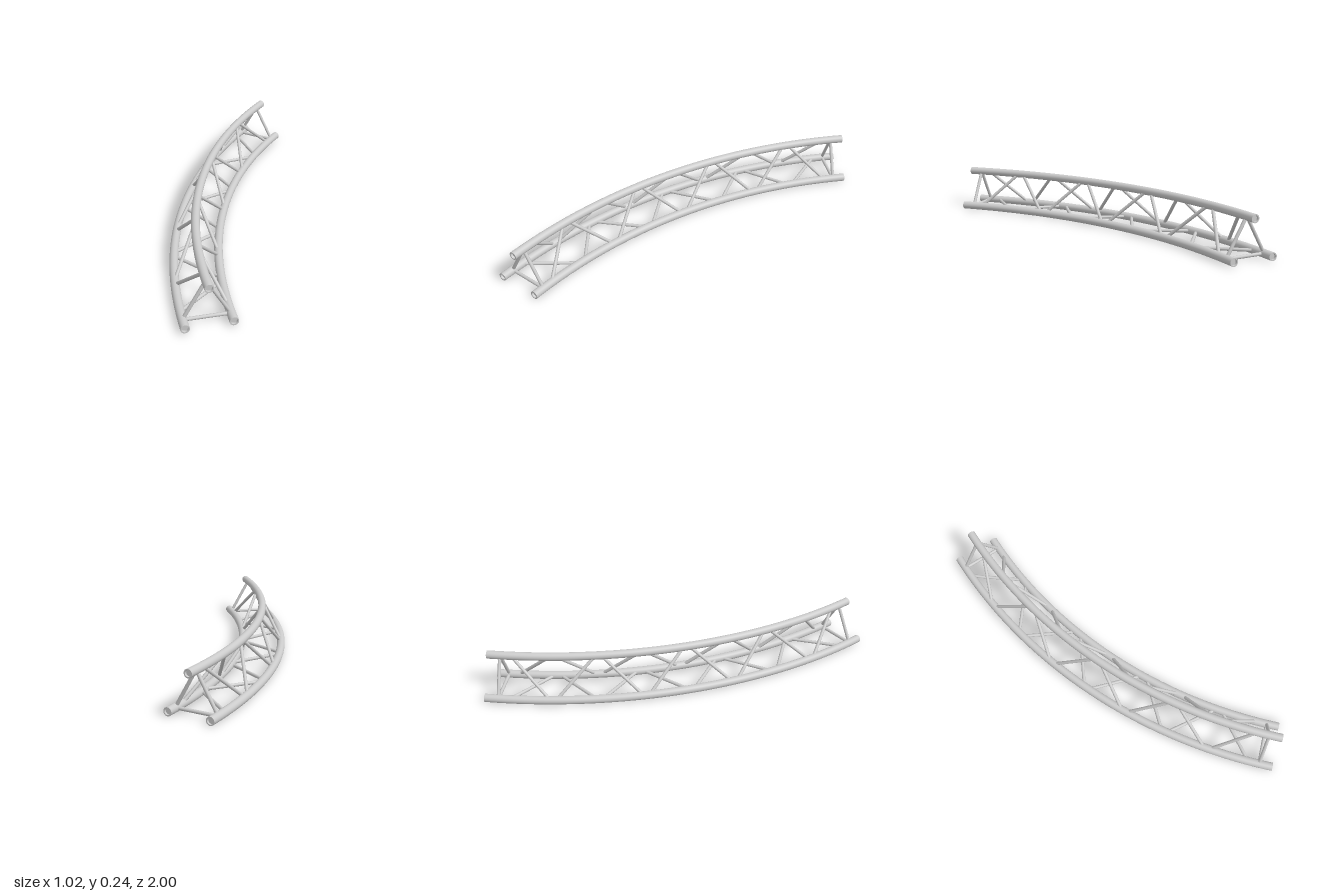
import * as THREE from 'three';

const DEG = Math.PI / 180;
const ARC = 45 * DEG;          // sweep of the curved truss
const CX = 2.318, CZ = 1;      // centre of curvature
const TUBE = 0.022, BORE = 0.016, BRACE = 0.009;

// The three main tubes: radius of curvature and height
const CHORDS = {
  outer: { r: 2.806, y: 0.022 },
  top: { r: 2.6925, y: 0.222 },
  inner: { r: 2.579, y: 0.022 },
};

const steel = new THREE.MeshStandardMaterial({ color: 0xcccccc });
const steelOpen = new THREE.MeshStandardMaterial({ color: 0xcccccc, side: THREE.DoubleSide });

// Point on a chord at an angle along the arc
function at(chord, a) {
  const { r, y } = CHORDS[chord];
  return new THREE.Vector3(CX - r * Math.cos(a), y, CZ - r * Math.sin(a));
}

function mesh(name, geometry, material = steel) {
  const m = new THREE.Mesh(geometry, material);
  m.name = name;
  return m;
}

// Straight round bar between two points
function bar(name, a, b) {
  const m = mesh(name, new THREE.CylinderGeometry(BRACE, BRACE, a.distanceTo(b), 12));
  m.position.copy(a).lerp(b, 0.5);
  m.quaternion.setFromUnitVectors(new THREE.Vector3(0, 1, 0), b.clone().sub(a).normalize());
  return m;
}

// Tube mouth facing +z: rim, short bore and recessed disc
function tubeEnd() {
  const g = new THREE.Group();
  const depth = 0.012;
  const bore = new THREE.CylinderGeometry(BORE, BORE, depth, 24, 1, true)
    .rotateX(Math.PI / 2).translate(0, 0, -depth / 2);
  g.add(mesh('tubeRim', new THREE.RingGeometry(BORE, TUBE, 24)));
  g.add(mesh('tubeBore', bore, steelOpen));
  g.add(mesh('tubePlug', new THREE.CircleGeometry(BORE, 24).translate(0, 0, -depth)));
  return g;
}

// Curved main tube with both ends
function chordTube(key) {
  const { r, y } = CHORDS[key];
  const g = new THREE.Group();
  g.name = key + 'Chord';
  const sweep = new THREE.TorusGeometry(r, TUBE, 24, 64, ARC)
    .rotateZ(Math.PI - ARC).rotateX(-Math.PI / 2).translate(CX, y, CZ);
  g.add(mesh(key + 'Tube', sweep));
  [[0, 0], [ARC, Math.PI - ARC]].forEach(([a, turn], i) => {
    const end = tubeEnd();
    end.name = key + (i ? 'BackEnd' : 'FrontEnd');
    end.position.copy(at(key, a));
    end.rotation.y = turn;
    g.add(end);
  });
  return g;
}

export function createModel() {
  const model = new THREE.Group();
  model.name = 'curvedTriangularTruss';
  for (const key of Object.keys(CHORDS)) model.add(chordTube(key));

  // Triangular frame near each end
  const pairs = [['outer', 'top'], ['top', 'inner'], ['inner', 'outer']];
  [1.45 * DEG, ARC - 1.45 * DEG].forEach((a, i) => {
    const frame = new THREE.Group();
    frame.name = i ? 'backFrame' : 'frontFrame';
    for (const [p, q] of pairs) frame.add(bar('frameStrut', at(p, a), at(q, a)));
    model.add(frame);
  });

  // Zigzag lacing on the three faces, one diagonal per bay
  const BAYS = 8, STEP = 5.03 * DEG, HALF = 2.2 * DEG;
  const faceNames = ['outerLacing', 'innerLacing', 'bottomLacing'];
  pairs.forEach(([p, q], f) => {
    const lacing = new THREE.Group();
    lacing.name = faceNames[f];
    for (let k = 0; k < BAYS; k++) {
      const mid = ARC / 2 + (k - (BAYS - 1) / 2) * STEP;
      const s = k % 2 ? -HALF : HALF;
      lacing.add(bar('diagonalBrace', at(p, mid + s), at(q, mid - s)));
    }
    model.add(lacing);
  });
  return model;
}
